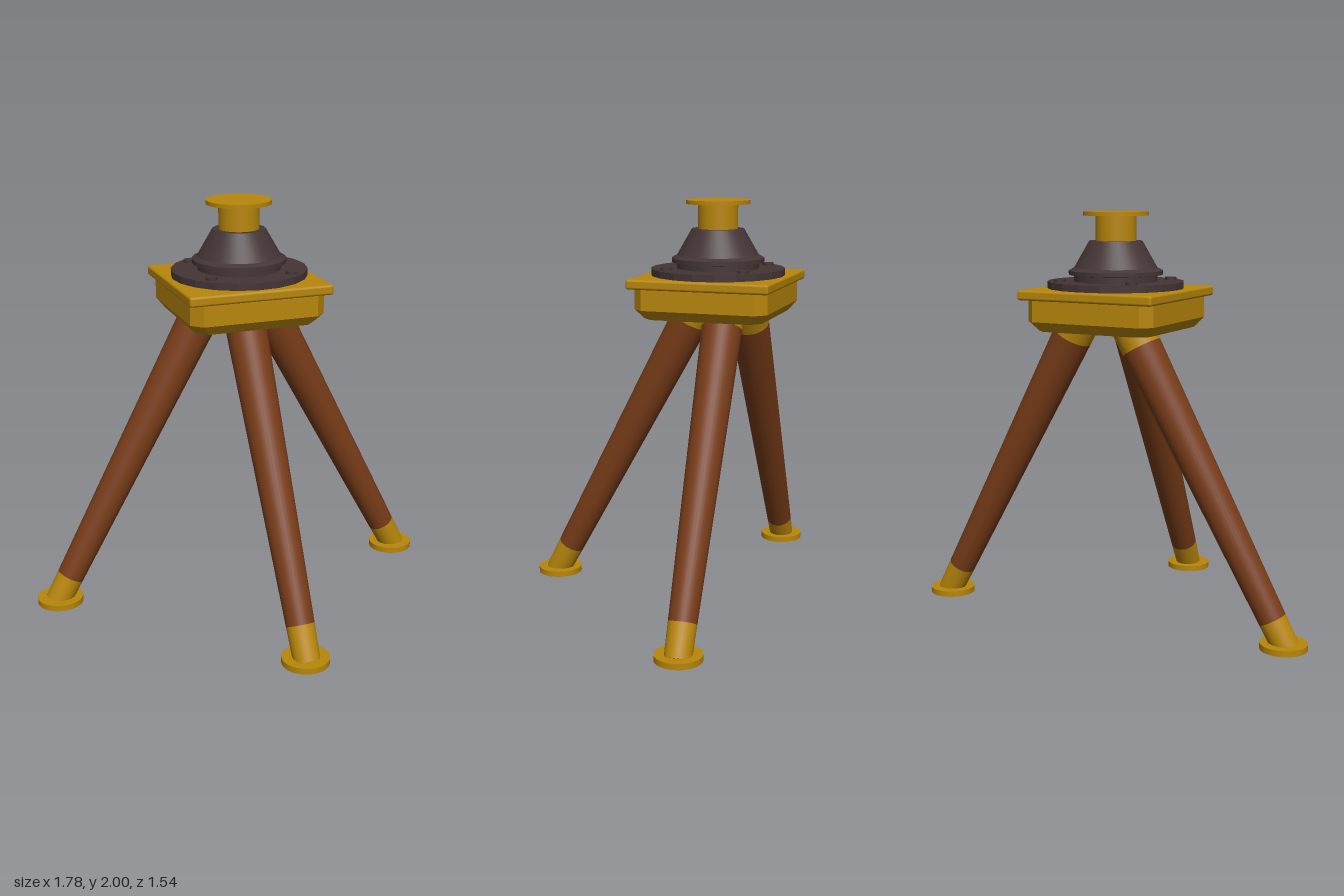
import * as THREE from 'three';
import { toCreasedNormals } from 'three/addons/utils/BufferGeometryUtils.js';
import { RoundedBoxGeometry } from 'three/addons/geometries/RoundedBoxGeometry.js';
import { ConvexGeometry } from 'three/addons/geometries/ConvexGeometry.js';

const gold = new THREE.MeshStandardMaterial({ color: 0xb8860b });
const brown = new THREE.MeshStandardMaterial({ color: 0x783c18 });
const dark = new THREE.MeshStandardMaterial({ color: 0x453535 });

function add(parent, name, geometry, material, x = 0, y = 0, z = 0) {
  const mesh = new THREE.Mesh(geometry, material);
  mesh.name = name;
  mesh.position.set(x, y, z);
  parent.add(mesh);
  return mesh;
}

// Solid of revolution with sharp corners kept
function lathe(points, segments = 40) {
  const profile = points.map(([r, y]) => new THREE.Vector2(r, y));
  return toCreasedNormals(new THREE.LatheGeometry(profile, segments), 0.35);
}

// Square block with cut corners and a tapered underside
function blockGeometry() {
  const points = [];
  for (const [y, h] of [[1.6, 0.329], [1.49, 0.329], [1.443, 0.293]]) {
    const c = h - 0.05;
    for (const sx of [-1, 1]) for (const sz of [-1, 1]) {
      points.push(new THREE.Vector3(sx * h, y, sz * c), new THREE.Vector3(sx * c, y, sz * h));
    }
  }
  return new ConvexGeometry(points);
}

// Tapered leg along the line from foot (y = 0.05) to hip (y = 1.443)
function makeLeg(name, foot, hip, seamLow, seamHigh) {
  const leg = new THREE.Group();
  leg.name = name;
  const a = new THREE.Vector3(foot[0], 0.05, foot[1]);
  const b = new THREE.Vector3(hip[0], 1.443, hip[1]);
  const at = (y) => a.clone().lerp(b, (y - 0.05) / 1.393);
  const radius = (y) => 0.064 + 0.034 * Math.min(1, (y - 0.05) / 1.393);
  const direction = b.clone().sub(a).normalize();

  const section = (part, y0, y1, material) => {
    const p = at(y0), q = at(y1);
    const mesh = add(leg, part, new THREE.CylinderGeometry(radius(y1), radius(y0), p.distanceTo(q), 32), material);
    mesh.position.copy(p).lerp(q, 0.5);
    mesh.quaternion.setFromUnitVectors(new THREE.Vector3(0, 1, 0), direction);
  };
  section('ankleSleeve', 0.027, seamLow, gold);
  section('legShaft', seamLow, seamHigh, brown);
  section('hipSleeve', seamHigh, 1.5, gold);
  add(leg, 'footPad', new THREE.CylinderGeometry(0.112, 0.112, 0.029, 40), gold, foot[0] - 0.002, 0.0335, foot[1]);
  return leg;
}

export function createModel() {
  const model = new THREE.Group();
  model.name = 'tripodStand';

  // Three splayed legs
  model.add(makeLeg('backRightLeg', [-0.78, -0.663], [-0.125, -0.262], 0.15, 1.375));
  model.add(makeLeg('frontRightLeg', [-0.525, 0.657], [-0.14, 0.015], 0.175, 1.405));
  model.add(makeLeg('frontLeftLeg', [0.774, 0.312], [0.137, -0.061], 0.17, 1.405));

  // Turned square base
  const base = new THREE.Group();
  base.name = 'base';
  base.position.set(-0.06, 0, -0.088);
  base.rotation.y = -0.569;
  add(base, 'basePlate', new RoundedBoxGeometry(0.7, 0.048, 0.7, 2, 0.012), gold, 0, 1.615, 0);
  add(base, 'baseBlock', blockGeometry(), gold);
  model.add(base);

  // Bolted mount on top
  const mount = new THREE.Group();
  mount.name = 'mount';
  mount.position.set(-0.052, 0, -0.086);
  add(mount, 'flange', toCreasedNormals(new THREE.CylinderGeometry(0.327, 0.327, 0.034, 20), 0.2), dark, 0, 1.655, 0);
  for (let i = 0; i < 4; i++) {
    const t = -0.18 + i * Math.PI / 2;
    add(mount, 'bolt', new THREE.CylinderGeometry(0.027, 0.027, 0.03, 20), dark,
      0.275 * Math.cos(t), 1.67, 0.275 * Math.sin(t));
  }
  add(mount, 'coneHousing', lathe([
    [0, 1.66], [0.2, 1.66], [0.2, 1.7], [0.225, 1.703], [0.225, 1.722],
    [0.2, 1.735], [0.127, 1.862], [0, 1.862],
  ]), dark);
  add(mount, 'neckAndCap', lathe([
    [0, 1.85], [0.097, 1.85], [0.097, 1.981], [0.156, 1.981], [0.156, 2], [0, 2],
  ]), gold);
  model.add(mount);

  return model;
}
